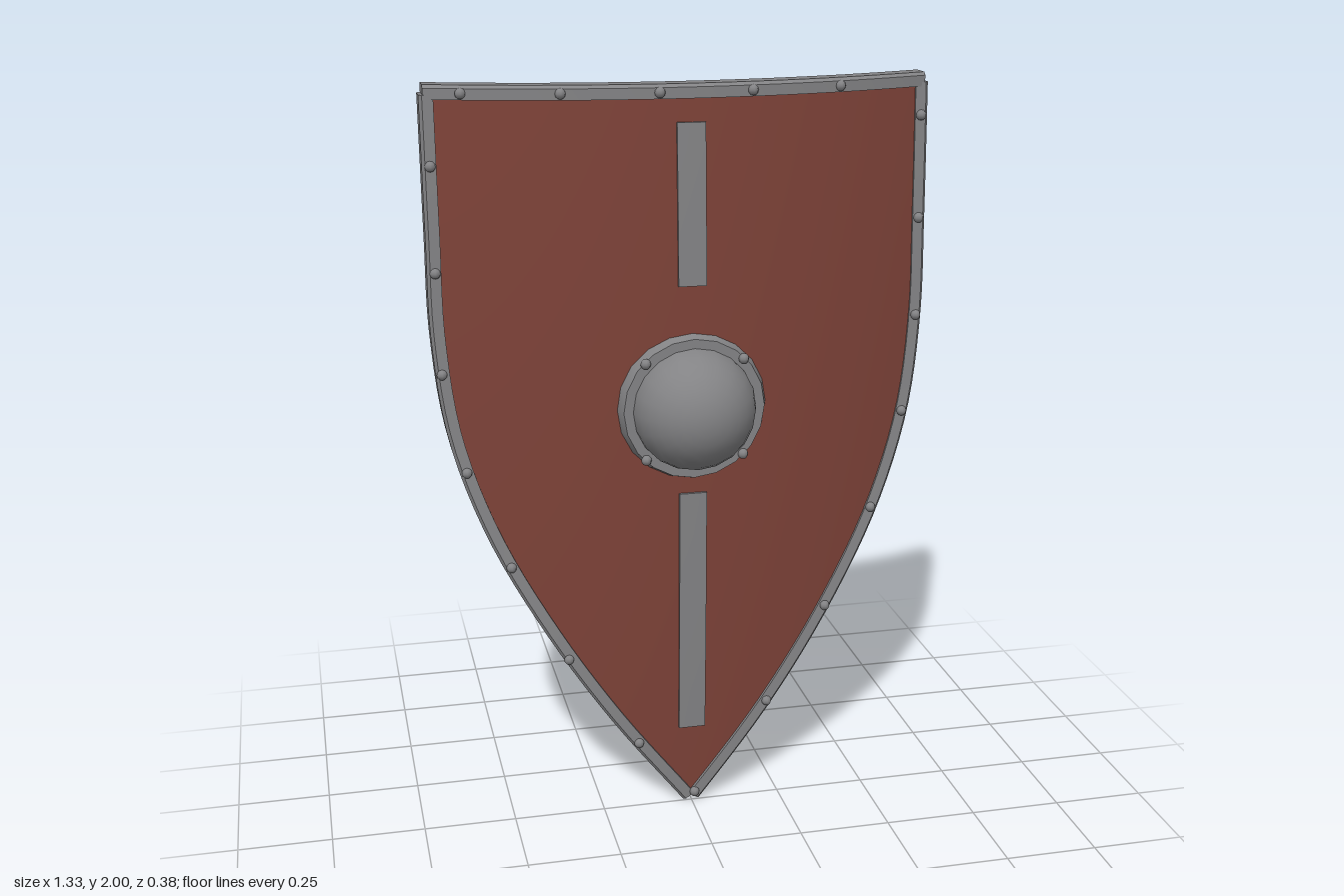
import * as THREE from 'three';
import { toCreasedNormals } from 'three/addons/utils/BufferGeometryUtils.js';

const mat = (name, color) => Object.assign(new THREE.MeshStandardMaterial({ color }), { name });

// Front surface of the dished shield board
const dish = (x, y) => -0.01 + 0.025 * (1 - (y - 1) ** 2) - 0.28 * x * x;
const THICK = 0.045;

// Right-hand edge from the tip to the top corner
const edge = new THREE.CatmullRomCurve3([
  [0.008, 0.015], [0.215, 0.29], [0.385, 0.555], [0.525, 0.825],
  [0.612, 1.09], [0.645, 1.36], [0.647, 1.62], [0.647, 1.975],
].map(([x, y]) => new THREE.Vector3(x, y, 0)));

// Moves the points of a segmented unit box by a rule
function bentBox(nx, ny, rule) {
  const g = new THREE.BoxGeometry(1, 1, 1, nx, ny, 1);
  const p = g.attributes.position;
  for (let i = 0; i < p.count; i++) p.setXYZ(i, ...rule(p.getX(i), p.getY(i), p.getZ(i)));
  g.computeVertexNormals();
  return g;
}

// Rectangular plate that follows the dish between two offsets from its front
const plate = (width, y0, y1, back, front) => bentBox(24, 6, (u, v, w) => {
  const x = u * width, y = y0 + (v + 0.5) * (y1 - y0);
  return [x, y, dish(x, y) + back + (w + 0.5) * (front - back)];
});

// Chamfered rim bar swept along outline points, running anticlockwise
function rimBar(points) {
  const section = [[-0.018, 0.012], [0.01, 0.012], [0.018, 0.002], [0.018, -0.052], [0.01, -0.062], [-0.018, -0.062]];
  const n = section.length, last = points.length - 1, pos = [], idx = [];
  points.forEach((p, i) => {
    const a = points[Math.max(i - 1, 0)], b = points[Math.min(i + 1, last)];
    const tx = b.x - a.x, ty = b.y - a.y, l = Math.hypot(tx, ty);
    for (const [out, z] of section) {
      pos.push(p.x + out * ty / l, p.y - out * tx / l, dish(p.x, p.y) + z);
    }
  });
  for (let i = 0; i < last; i++) {
    for (let j = 0; j < n; j++) {
      const a = i * n + j, b = i * n + (j + 1) % n;
      idx.push(a, b, b + n, a, b + n, a + n);
    }
  }
  for (let k = 1; k < n - 1; k++) {
    idx.push(0, k + 1, k, last * n, last * n + k, last * n + k + 1);
  }
  const g = new THREE.BufferGeometry();
  g.setAttribute('position', new THREE.Float32BufferAttribute(pos, 3));
  g.setIndex(idx);
  return toCreasedNormals(g, 0.5);
}

export function createModel() {
  const group = new THREE.Group();
  const red = mat('red paint', 0x7d4238);
  const wood = mat('dark wood', 0x584636);
  const leather = mat('brown leather', 0x604a38);
  const steel = mat('steel', 0x838385);
  const add = (name, geometry, material, x = 0, y = 0, z = 0) => {
    const mesh = new THREE.Mesh(geometry, material);
    mesh.name = name;
    mesh.position.set(x, y, z);
    group.add(mesh);
    return mesh;
  };

  // Board: painted front, bare wooden back and sides
  const board = bentBox(24, 40, (u, v, w) => {
    const e = edge.getPoint(v + 0.5), x = u * 2 * e.x;
    return [x, e.y, dish(x, e.y) + (w - 0.5) * THICK];
  });
  add('board', board, [wood, wood, wood, wood, red, wood]);

  // Steel rim in three bars
  const right = edge.getPoints(36);
  const left = right.map(p => new THREE.Vector3(-p.x, p.y, 0)).reverse();
  const top = Array.from({ length: 25 }, (_, i) => new THREE.Vector3(0.655 * (1 - i / 12), 1.982, 0));
  add('rightRim', rimBar(right), steel);
  add('leftRim', rimBar(left), steel);
  add('topRim', rimBar(top), steel);

  // Rim rivets
  const rivet = new THREE.SphereGeometry(0.014, 8, 6);
  const rivets = [
    [0.645, 1.89], [0.645, 1.62], [0.645, 1.355], [0.61, 1.09], [0.52, 0.825], [0.385, 0.555], [0.215, 0.29], [0.008, 0.03],
    [-0.645, 1.8], [-0.645, 1.53], [-0.64, 1.265], [-0.588, 1.0], [-0.483, 0.735], [-0.338, 0.465], [-0.15, 0.2],
    [-0.565, 1.98], [-0.325, 1.98], [-0.08, 1.98], [0.16, 1.98], [0.4, 1.98],
  ];
  for (const [x, y] of rivets) add('rimRivet', rivet, steel, x, y, dish(x, y) + 0.012);

  // Central steel strips above and below the boss
  add('upperStrip', plate(0.074, 1.49, 1.905, -0.005, 0.008), steel);
  add('lowerStrip', plate(0.074, 0.235, 0.93, -0.005, 0.008), steel);

  // Boss: flange, dome and four rivets
  const bossY = 1.168;
  const flange = toCreasedNormals(new THREE.CylinderGeometry(0.188, 0.199, 0.034, 20).rotateX(Math.PI / 2), 0.5);
  add('bossFlange', flange, steel, 0, bossY, 0.022);
  const dome = new THREE.SphereGeometry(0.165, 20, 8, 0, Math.PI * 2, 0, Math.PI / 2).rotateX(Math.PI / 2);
  add('bossDome', dome, steel, 0, bossY, 0.021);
  for (const sx of [-1, 1]) {
    for (const sy of [-1, 1]) add('bossRivet', rivet, steel, sx * 0.13, bossY + sy * 0.13, 0.042);
  }

  // Wooden battens across the back
  add('upperBatten', plate(1.16, 1.55, 1.65, -THICK - 0.02, -THICK + 0.005), wood);
  add('lowerBatten', plate(0.79, 0.6, 0.7, -THICK - 0.02, -THICK + 0.005), wood);

  // Leather arm straps, each fixed by two rivets
  const strap = bentBox(20, 1, (u, v, w) => {
    const t = (w + 0.5) * 0.006, a = u * Math.PI;
    return [(0.165 - t) * Math.sin(a), v * 0.056, -0.04 - (0.1 - t) * Math.cos(a)];
  });
  for (const y of [1.395, 0.783]) {
    add('armStrap', strap, leather, 0, y, 0);
    for (const s of [-1, 1]) add('strapRivet', new THREE.SphereGeometry(0.008, 8, 6), steel, s * 0.165, y, -0.055);
  }

  // Hand grip
  const grip = new THREE.CylinderGeometry(0.043, 0.043, 0.3, 14);
  add('handGrip', grip, leather, 0, 1.02, -0.097);

  return group;
}
